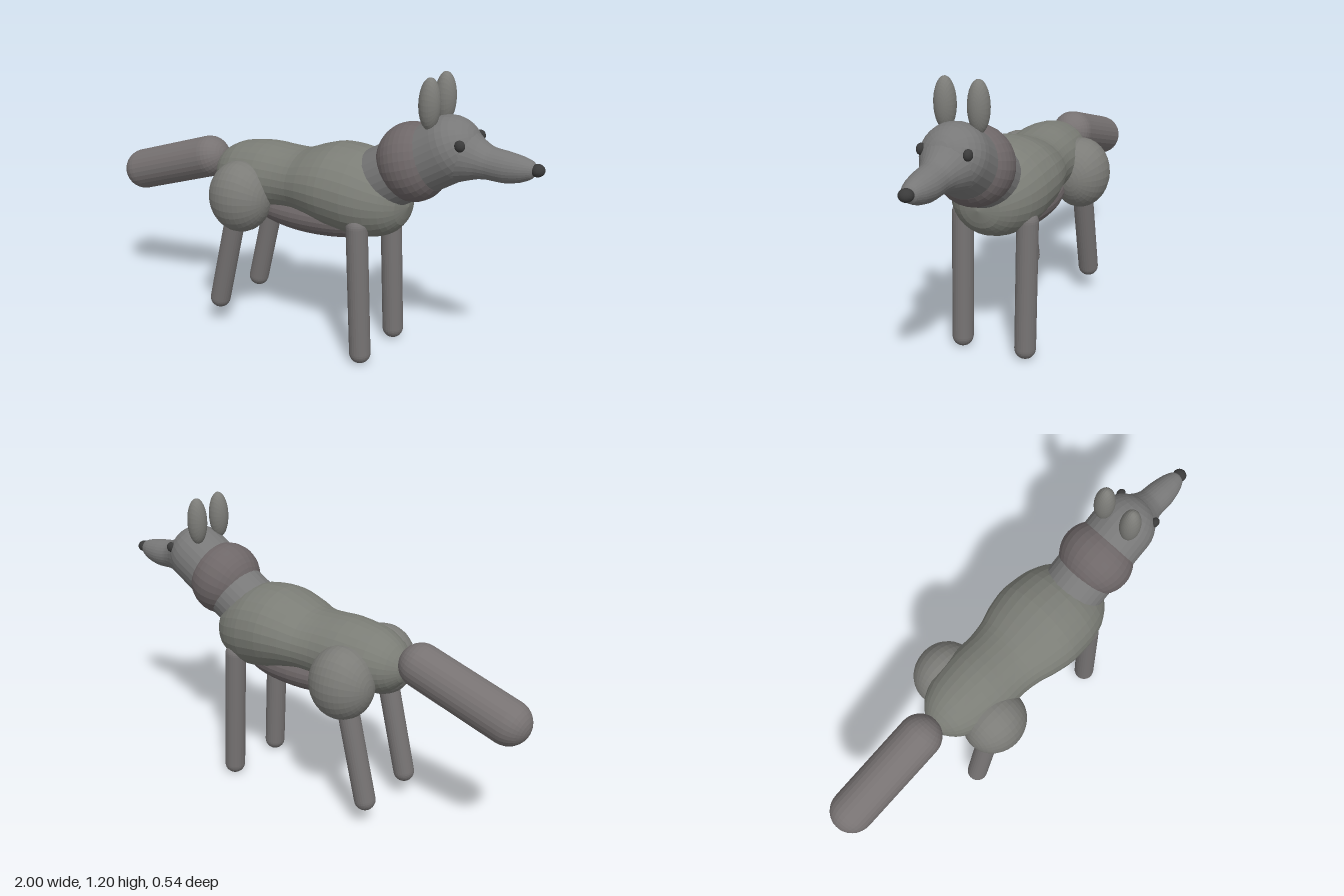
import * as THREE from 'three';

const paint = (color) => new THREE.MeshStandardMaterial({ color, flatShading: true });
const coat = paint(0x7b7d76);
const legCoat = paint(0x757272);
const headCoat = paint(0x787878);
const ruffCoat = paint(0x6e6768);
const tailCoat = paint(0x777272);
const thighCoat = paint(0x7c7c78);
const dark = paint(0x3a3a3a);

export function createModel() {
  const model = new THREE.Group();

  // Ellipsoid with its poles along x, tilted about z (degrees)
  function ellipsoid(name, pos, radii, material, tilt = 0) {
    const geo = new THREE.SphereGeometry(1, 28, 20);
    geo.rotateZ(Math.PI / 2);
    geo.scale(...radii);
    const mesh = new THREE.Mesh(geo, material);
    mesh.name = name;
    mesh.position.set(...pos);
    mesh.rotation.z = THREE.MathUtils.degToRad(tilt);
    model.add(mesh);
  }

  // Round-ended limb between the centres of its two end caps
  function limb(name, from, to, radius, material) {
    const a = new THREE.Vector3(...from), b = new THREE.Vector3(...to);
    const dir = b.clone().sub(a);
    const mesh = new THREE.Mesh(new THREE.CapsuleGeometry(radius, dir.length(), 8, 28), material);
    mesh.name = name;
    mesh.position.copy(a).add(b).multiplyScalar(0.5);
    mesh.quaternion.setFromUnitVectors(new THREE.Vector3(0, 1, 0), dir.normalize());
    model.add(mesh);
  }

  // Smooth skin over elliptical sections [x, centreY, radiusY, radiusZ]
  function loft(name, sections, material) {
    const sides = 28, rings = 36;
    const spine = new THREE.CatmullRomCurve3(sections.map(([x, y]) => new THREE.Vector3(x, y, 0)));
    const girth = new THREE.CatmullRomCurve3(sections.map(([, , ry, rz]) => new THREE.Vector3(0, ry, rz)));
    const positions = [], index = [];
    for (let i = 0; i <= rings; i++) {
      const c = spine.getPoint(i / rings), r = girth.getPoint(i / rings);
      for (let j = 0; j < sides; j++) {
        const a = (j / sides) * Math.PI * 2;
        positions.push(c.x, c.y + r.y * Math.cos(a), r.z * Math.sin(a));
        if (i === rings) continue;
        const p = i * sides + j, q = i * sides + (j + 1) % sides;
        index.push(p, q, p + sides, q, q + sides, p + sides);
      }
    }
    const geo = new THREE.BufferGeometry();
    geo.setAttribute('position', new THREE.Float32BufferAttribute(positions, 3));
    geo.setIndex(index);
    geo.computeVertexNormals();
    const mesh = new THREE.Mesh(geo, material);
    mesh.name = name;
    model.add(mesh);
  }

  // Rump, waist and chest in one skin, with the belly below
  loft('torso', [
    [-0.47, 0.668, 0, 0], [-0.455, 0.668, 0.05, 0.05], [-0.41, 0.67, 0.1, 0.105],
    [-0.33, 0.675, 0.133, 0.143], [-0.2, 0.68, 0.145, 0.16], [-0.1, 0.685, 0.135, 0.16],
    [-0.03, 0.69, 0.13, 0.17], [0.05, 0.7, 0.148, 0.195], [0.15, 0.7, 0.174, 0.21],
    [0.25, 0.688, 0.18, 0.203], [0.33, 0.675, 0.162, 0.18], [0.4, 0.665, 0.125, 0.135],
    [0.44, 0.66, 0.075, 0.08], [0.457, 0.657, 0, 0],
  ], coat);
  ellipsoid('belly', [0.03, 0.56, 0], [0.32, 0.09, 0.14], ruffCoat);

  // Neck running into the head, with a thick ruff around it
  limb('neckAndHead', [0.25, 0.7, 0], [0.62, 0.92, 0], 0.13, headCoat);
  ellipsoid('ruff', [0.472, 0.845, 0], [0.143, 0.157, 0.157], ruffCoat, 18);

  // Muzzle flaring out of the head, and nose
  loft('muzzle', [
    [0.66, 0.917, 0.121, 0.121], [0.71, 0.91, 0.097, 0.097], [0.75, 0.9, 0.075, 0.075],
    [0.79, 0.891, 0.063, 0.063], [0.85, 0.886, 0.06, 0.06], [0.91, 0.887, 0.049, 0.049],
    [0.95, 0.89, 0.033, 0.033], [0.975, 0.892, 0, 0],
  ], headCoat);
  ellipsoid('nose', [0.97, 0.893, 0], [0.027, 0.024, 0.028], dark);

  // Tail
  limb('tail', [-0.53, 0.705, 0], [-0.912, 0.583, 0], 0.09, tailCoat);

  // Mirrored parts
  for (const [side, s] of [['left', 1], ['right', -1]]) {
    ellipsoid(side + 'Eye', [0.702, 0.963, s * 0.092], [0.021, 0.022, 0.017], dark);
    ellipsoid(side + 'Ear', [0.563, 1.098, s * 0.067], [0.042, 0.1, 0.042], thighCoat);
    ellipsoid(side + 'Thigh', [-0.258, 0.61, s * 0.145], [0.137, 0.152, 0.125], thighCoat);
    limb(side + 'HindLeg', [-0.28, 0.54, s * 0.145], [-0.38, 0.12, s * 0.145], 0.044, legCoat);
    limb(side + 'FrontLeg', [0.303, 0.582, s * 0.14], [0.327, 0.044, s * 0.14], 0.044, legCoat);
  }

  return model;
}
